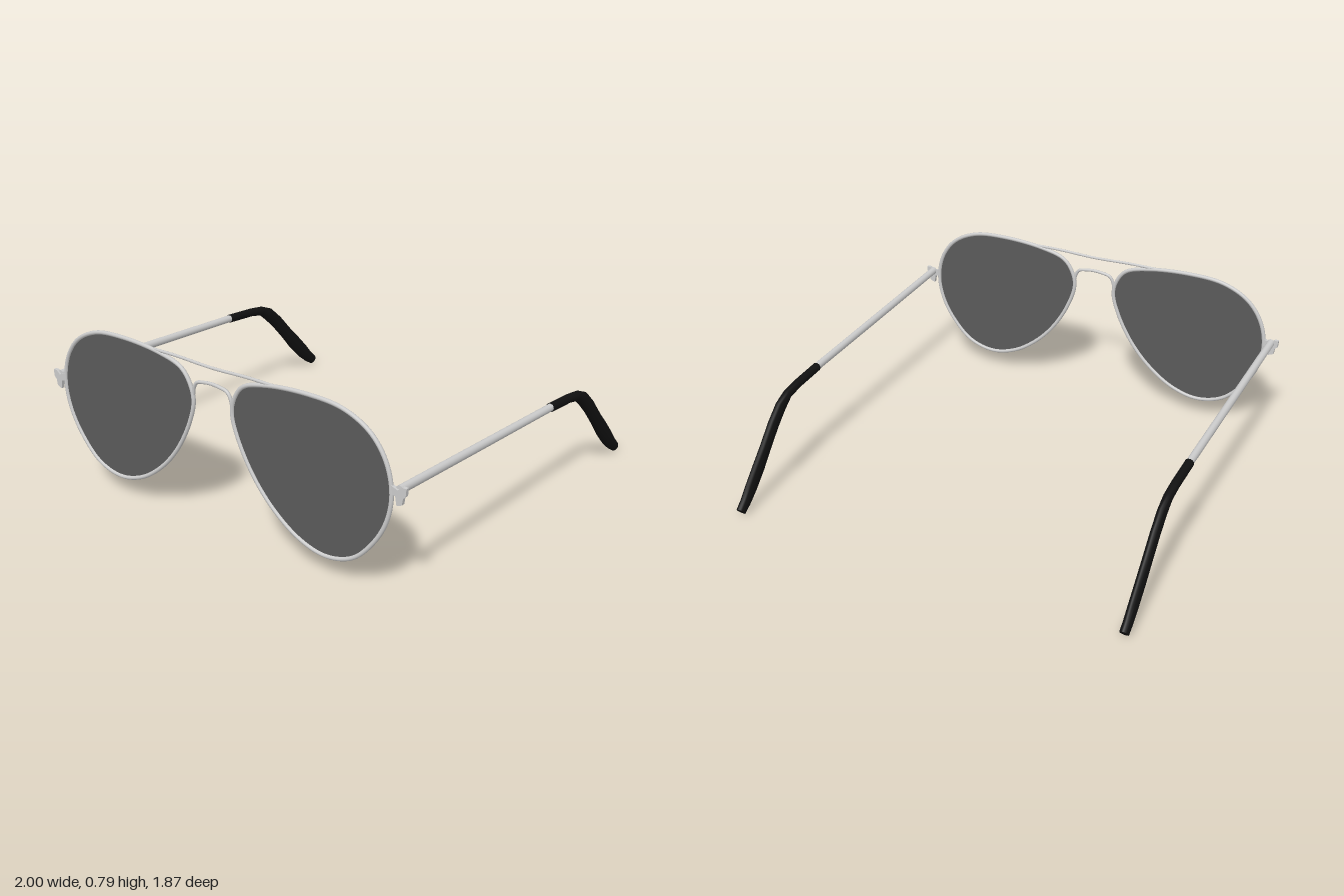
import * as THREE from 'three';

const FRONT_Z = 0.917;
const metal = new THREE.MeshStandardMaterial({ color: 0xcccccc });
const lensMat = new THREE.MeshStandardMaterial({ color: 0x5a5a5a, side: THREE.DoubleSide });
const tipMat = new THREE.MeshStandardMaterial({ color: 0x111111 });

// Centre line of one teardrop rim, as x, y
const RIM = [
  [0.11, 0.6], [0.127, 0.675], [0.175, 0.736], [0.3, 0.773], [0.52, 0.791], [0.695, 0.776],
  [0.823, 0.713], [0.897, 0.615], [0.926, 0.49], [0.906, 0.364], [0.843, 0.246],
  [0.735, 0.138], [0.6, 0.101], [0.465, 0.133], [0.337, 0.217], [0.228, 0.335], [0.144, 0.483],
];

// Temple sections, front to back: z, y, half height
const ARM = [[0.917, 0.512, 0.019], [0.3, 0.485, 0.019], [-0.26, 0.461, 0.018]];
const TIP = [
  [-0.23, 0.462, 0.021], [-0.4, 0.45, 0.021], [-0.48, 0.436, 0.024], [-0.54, 0.4, 0.035],
  [-0.607, 0.338, 0.036], [-0.69, 0.245, 0.036], [-0.75, 0.178, 0.041], [-0.82, 0.105, 0.039],
  [-0.87, 0.056, 0.031], [-0.91, 0.025, 0.025],
];

function add(group, name, geometry, material) {
  const mesh = new THREE.Mesh(geometry, material);
  mesh.name = name;
  group.add(mesh);
  return mesh;
}

function curve(points, closed = false) {
  return new THREE.CatmullRomCurve3(
    points.map(([x, y]) => new THREE.Vector3(x, y, FRONT_Z)), closed, 'centripetal');
}

// Capped oval bar following sections in the yz plane
function loft(sections, halfWidth, x) {
  const n = sections.length - 1;
  const geo = new THREE.CylinderGeometry(1, 1, 1, 16, n);
  const p = geo.attributes.position;
  for (let i = 0; i < p.count; i++) {
    const k = Math.round((0.5 - p.getY(i)) * n);
    const [z, y, h] = sections[k];
    const a = sections[Math.max(k - 1, 0)], b = sections[Math.min(k + 1, n)];
    const len = Math.hypot(a[0] - b[0], a[1] - b[1]);
    const tz = (a[0] - b[0]) / len, ty = (a[1] - b[1]) / len;
    const s = p.getZ(i) * h;
    p.setXYZ(i, x + p.getX(i) * halfWidth, y - tz * s, z + ty * s);
  }
  geo.computeVertexNormals();
  return geo;
}

// Flared end piece joining rim and temple
function endPiece(side) {
  const pts = [
    [0.925, 0.525], [0.96, 0.513], [0.98, 0.53], [1, 0.53], [0.997, 0.495],
    [0.985, 0.485], [0.98, 0.455], [0.955, 0.445], [0.948, 0.485], [0.925, 0.49],
  ];
  const shape = new THREE.Shape(pts.map(([x, y]) => new THREE.Vector2(side * x, y)));
  const geo = new THREE.ExtrudeGeometry(shape, { depth: 0.016, bevelEnabled: false });
  geo.translate(0, 0, FRONT_Z - 0.008);
  return geo;
}

export function createModel() {
  const model = new THREE.Group();
  model.name = 'sunglasses';
  const body = new THREE.Group();
  body.name = 'glassesBody';
  // The whole pair sits very slightly turned
  body.rotation.y = -0.0105;
  body.position.x = 0.009;
  model.add(body);

  for (const [side, label] of [[1, 'left'], [-1, 'right']]) {
    const path = curve(RIM.map(([x, y]) => [side * x, y]), true);

    // Rim and flat lens
    add(body, label + 'Rim', new THREE.TubeGeometry(path, 120, 0.0095, 10, true), metal);
    const outline = path.getPoints(100).slice(0, -1).map((v) => new THREE.Vector2(v.x, v.y));
    add(body, label + 'Lens', new THREE.ShapeGeometry(new THREE.Shape(outline)), lensMat)
      .position.z = FRONT_Z;

    // Hinge, temple arm and ear tip
    add(body, label + 'EndPiece', endPiece(side), metal);
    add(body, label + 'Temple', loft(ARM, 0.018, side * 0.962), metal);
    add(body, label + 'EarTip', loft(TIP, 0.021, side * 0.962), tipMat);
  }

  // Straight brow bar and arched nose bridge
  const bar = curve([[-0.34, 0.782], [-0.2, 0.783], [0, 0.777], [0.2, 0.783], [0.34, 0.782]]);
  add(body, 'browBar', new THREE.TubeGeometry(bar, 32, 0.007, 8), metal);
  const arch = curve([
    [-0.112, 0.62], [-0.103, 0.665], [-0.085, 0.69], [-0.045, 0.7], [0, 0.704],
    [0.045, 0.7], [0.085, 0.69], [0.103, 0.665], [0.112, 0.62],
  ]);
  add(body, 'noseBridge', new THREE.TubeGeometry(arch, 48, 0.008, 8), metal);

  return model;
}
